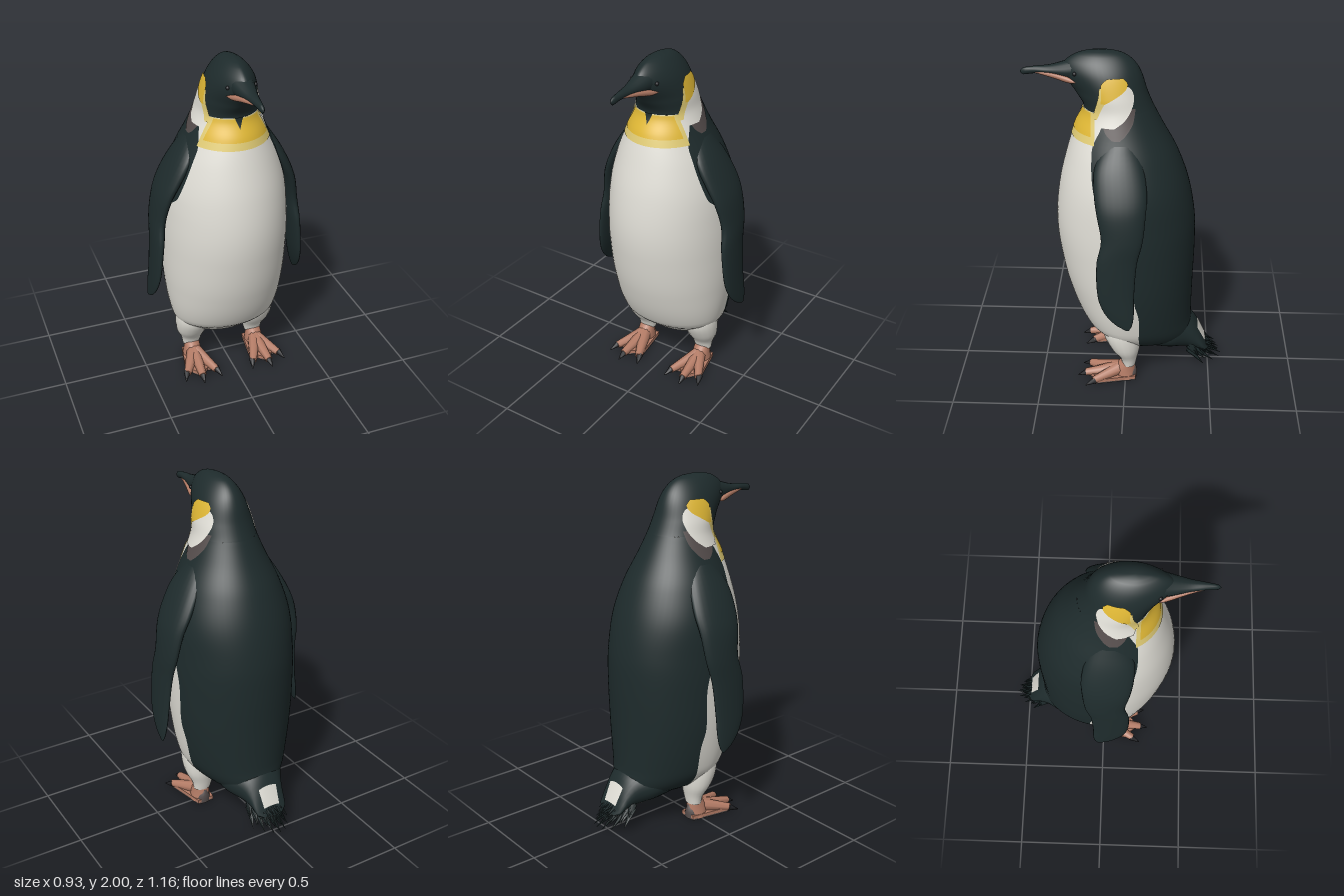
import * as THREE from 'three';
import { mergeVertices } from 'three/addons/utils/BufferGeometryUtils.js';

const mat = (name, color, side = THREE.FrontSide) => {
  const m = new THREE.MeshStandardMaterial({ color, side });
  m.name = name;
  return m;
};
const DARK = mat('dark plumage', 0x1e2b2c);
const PALE = mat('pale plumage', 0xe0ded6, THREE.DoubleSide);
const YELLOW = mat('yellow plumage', 0xdfb735);
const CREAM = mat('cream plumage', 0xdfca74);
const GREY = mat('grey brown', 0x544c4b);
const PINK = mat('pinkish skin', 0xb47c66);
const BLACK = mat('claw black', 0x222326);

// Smooth lookup in a table whose first column is the ascending key
function at(table, k) {
  let i = 0;
  while (i < table.length - 2 && k > table[i + 1][0]) i++;
  const p = table[i], q = table[i + 1];
  const h = q[0] - p[0], t = THREE.MathUtils.clamp((k - p[0]) / h, 0, 1);
  const a = table[i - 1] || p, b = table[i + 2] || q;
  return p.map((_, c) => {
    const m0 = (q[c] - a[c]) / (q[0] - a[0]) * h, m1 = (b[c] - p[c]) / (b[0] - p[0]) * h;
    const t2 = t * t, t3 = t2 * t;
    return (2 * t3 - 3 * t2 + 1) * p[c] + (t3 - 2 * t2 + t) * m0 + (3 * t2 - 2 * t3) * q[c] + (t3 - t2) * m1;
  });
}

// Grid surface from a function of u and v
function surface(f, nu, nv) {
  const pos = [], idx = [];
  for (let j = 0; j <= nv; j++) for (let i = 0; i <= nu; i++) pos.push(...f(i / nu, j / nv));
  for (let j = 0; j < nv; j++) for (let i = 0; i < nu; i++) {
    const a = j * (nu + 1) + i, c = a + nu + 1;
    idx.push(a, a + 1, c + 1, a, c + 1, c);
  }
  let g = new THREE.BufferGeometry();
  g.setAttribute('position', new THREE.Float32BufferAttribute(pos, 3));
  g.setIndex(idx);
  g = mergeVertices(g, 1e-5);
  g.computeVertexNormals();
  return g;
}

// Trunk and head: y, half width, front z, back z, centre z
const BODY = [
  [0.17, 0.08, 0.0, -0.3, -0.12], [0.22, 0.2, 0.09, -0.385, -0.08], [0.28, 0.27, 0.155, -0.395, -0.04],
  [0.36, 0.315, 0.245, -0.388, 0], [0.6, 0.352, 0.34, -0.39, 0], [0.86, 0.362, 0.39, -0.395, 0],
  [1.04, 0.358, 0.4, -0.388, 0], [1.24, 0.34, 0.378, -0.35, 0], [1.42, 0.287, 0.335, -0.285, 0.02],
  [1.58, 0.215, 0.285, -0.2, 0.04], [1.69, 0.172, 0.237, -0.145, 0.05], [1.77, 0.157, 0.28, -0.112, 0.08],
  [1.87, 0.128, 0.345, -0.08, 0.11], [1.93, 0.097, 0.335, -0.045, 0.13], [1.975, 0.058, 0.275, 0.01, 0.14],
  [1.993, 0.028, 0.215, 0.07, 0.145], [2, 0, 0.15, 0.15, 0.15]];
// z of the line where the pale front meets the dark back
const EDGE = [[0.17, -0.22], [0.2, -0.12], [0.26, -0.085], [0.5, -0.08], [0.62, -0.055], [0.9, -0.05],
  [1.13, 0.05], [1.22, 0.15], [1.5, 0.18], [1.62, 0.13], [1.7, 0.1]];

function bodyPoint(y, th, off = 0) {
  const [, w, zf, zb, zc] = at(BODY, y);
  const c = Math.cos(th), s = Math.sin(th);
  // the face narrows towards the beak
  const narrow = 1 - 0.3 * THREE.MathUtils.smoothstep(y, 1.69, 1.8) * Math.max(c, 0) ** 2;
  return [(w + off) * s * narrow, y, zc + (c > 0 ? zf - zc + off : zc - zb + off) * c];
}
function angleAt(y, z) {
  const [, , zf, zb, zc] = at(BODY, y);
  return Math.acos(THREE.MathUtils.clamp((z - zc) / (z > zc ? zf - zc : zc - zb), -1, 1));
}
const edge = (y) => angleAt(y, at(EDGE, y)[1]);

// Piece of the body skin between two angles that may vary with height
function skin(y0, y1, from, to, nu, nv, off = 0) {
  return surface((u, v) => {
    const y = y0 + (y1 - y0) * v, a = from(y);
    return bodyPoint(y, a + (to(y) - a) * u, off);
  }, nu, nv);
}

// Tube of ellipses along z: z, bottom y, top y, half width, centre x
function loftZ(table, nu, nv, a0 = 0, a1 = Math.PI * 2) {
  const z0 = table[0][0], z1 = table[table.length - 1][0];
  return surface((u, v) => {
    const [z, yb, yt, w, x] = at(table, z0 + (z1 - z0) * v);
    const a = a0 + (a1 - a0) * u;
    return [x + w * Math.cos(a), (yb + yt) / 2 + (yt - yb) / 2 * Math.sin(a), z];
  }, nu, nv);
}
// Tube of ellipses along y: y, outer x, inner x, front z, back z
function loftY(table, nu, nv) {
  const y0 = table[0][0], y1 = table[table.length - 1][0];
  return surface((u, v) => {
    const [y, xo, xi, zf, zb] = at(table, y0 + (y1 - y0) * v);
    const a = u * Math.PI * 2;
    return [(xo + xi) / 2 + (xo - xi) / 2 * Math.sin(a), y, (zf + zb) / 2 + (zf - zb) / 2 * Math.cos(a)];
  }, nu, nv);
}
const mirrorRows = (rows, s) => rows.map(([y, o, i, f, b]) => s > 0 ? [y, o, i, f, b] : [y, -i, -o, f, b]);

// Tapered rod between two points
function rod(p, q, r0, r1, sides = 8) {
  const a = new THREE.Vector3(...p), d = new THREE.Vector3(...q).sub(a), len = d.length();
  const g = new THREE.CylinderGeometry(r1, r0, len, sides);
  g.translate(0, len / 2, 0);
  g.applyQuaternion(new THREE.Quaternion().setFromUnitVectors(new THREE.Vector3(0, 1, 0), d.normalize()));
  return g.translate(a.x, a.y, a.z);
}

export function createModel() {
  const root = new THREE.Group();
  root.name = 'penguin';
  const add = (name, geo, m, parent = root) => {
    const mesh = new THREE.Mesh(geo, m);
    mesh.name = name;
    parent.add(mesh);
    return mesh;
  };
  // Symmetric panel across the front, reaching back to the angle given by side(y)
  const front = (name, m, y0, y1, side, nv, off) => add(name, skin(y0, y1, (y) => -side(y), side, 40, nv, off), m);

  // Trunk, collar and head
  front('belly', PALE, 0.17, 1.69, edge, 66, 0);
  front('paleCollar', CREAM, 1.53, 1.69, (y) => angleAt(y, 0.165), 10, 0.003);
  front('brightCollar', YELLOW, 1.57, 1.685, (y) => angleAt(y, 0.185), 8, 0.005);
  add('back', skin(0.17, 1.69, edge, (y) => Math.PI * 2 - edge(y), 40, 66), DARK);
  add('head', skin(1.69, 2, () => -Math.PI, () => Math.PI, 48, 32), DARK);
  front('chinPoint', DARK, 1.635, 1.695, (y) => (y - 1.635) * 2.2, 6, 0.008);

  // Side patches: y, front z, back z
  const patches = [
    ['shoulderPatch', GREY, 0.003, [[1.565, 0.07, 0.03], [1.59, 0.1, 0], [1.64, 0.12, -0.035], [1.68, 0.1, -0.045], [1.72, 0.08, -0.05]]],
    ['earPatch', PALE, 0.005, [[1.625, 0.15, 0.06], [1.66, 0.16, 0.01], [1.71, 0.145, -0.025], [1.77, 0.13, -0.04], [1.82, 0.11, -0.025], [1.84, 0.08, 0.0]]],
    ['cheekStripe', CREAM, 0.007, [[1.66, 0.175, 0.15], [1.72, 0.16, 0.125], [1.78, 0.145, 0.1], [1.83, 0.14, 0.1]]],
    ['cheekPatch', YELLOW, 0.008, [[1.75, 0.132, 0.11], [1.78, 0.128, 0.06], [1.815, 0.128, 0.01], [1.85, 0.13, -0.005], [1.88, 0.1, 0.02]]]];
  for (const s of [1, -1]) {
    for (const [name, m, off, rows] of patches) {
      const f = (y) => angleAt(y, at(rows, y)[1]), b = (y) => angleAt(y, at(rows, y)[2]);
      add(name, skin(rows[0][0], rows[rows.length - 1][0], s > 0 ? f : (y) => -b(y), s > 0 ? b : (y) => -f(y), 10, 16, off), m);
    }
    const eye = add('eye', new THREE.SphereGeometry(0.011, 12, 8), BLACK);
    eye.position.set(...bodyPoint(1.885, s * angleAt(1.885, 0.275)));
  }

  // Beak with coloured lower plates
  add('beak', loftZ([[0.26, 1.82, 1.96, 0.07, 0], [0.34, 1.835, 1.93, 0.054, 0], [0.42, 1.855, 1.908, 0.034, 0],
    [0.5, 1.86, 1.9, 0.02, 0], [0.565, 1.852, 1.888, 0.01, 0], [0.575, 1.866, 1.872, 0.001, 0]], 16, 20), DARK);
  for (const s of [1, -1]) {
    add('beakPlate', loftZ([[0.27, 1.835, 1.84, 0.002, s * 0.08], [0.31, 1.829, 1.86, 0.014, s * 0.06],
      [0.38, 1.845, 1.873, 0.01, s * 0.042], [0.44, 1.857, 1.876, 0.006, s * 0.027], [0.49, 1.868, 1.872, 0.001, s * 0.019]], 10, 14), PINK);
  }

  // Flippers
  const flipper = [[0.515, 0.463, 0.46, -0.01, -0.03], [0.55, 0.464, 0.448, 0.05, -0.048], [0.62, 0.462, 0.428, 0.11, -0.056],
    [0.72, 0.457, 0.408, 0.145, -0.056], [0.92, 0.446, 0.382, 0.15, -0.07], [1.05, 0.437, 0.36, 0.125, -0.1],
    [1.2, 0.412, 0.32, 0.15, -0.115], [1.3, 0.375, 0.27, 0.165, -0.12], [1.42, 0.313, 0.2, 0.165, -0.1], [1.54, 0.235, 0.12, 0.12, -0.06]];
  for (const s of [1, -1]) add(s > 0 ? 'leftFlipper' : 'rightFlipper', loftY(mirrorRows(flipper, s), 24, 40), DARK);

  // Tail, dark above and pale below, with a fan of pointed feathers
  const tail = [[-0.5, 0.11, 0.115, 0.06, 0], [-0.48, 0.1, 0.16, 0.095, 0], [-0.43, 0.105, 0.27, 0.11, 0],
    [-0.37, 0.12, 0.35, 0.135, 0], [-0.25, 0.14, 0.4, 0.2, 0], [-0.06, 0.16, 0.3, 0.16, 0]];
  add('tailTop', loftZ(tail, 24, 20, -0.75, Math.PI + 0.75), DARK);
  add('tailUnderside', loftZ(tail, 12, 20, Math.PI + 0.75, Math.PI * 2 - 0.75), PALE);
  const rump = tail.slice(1, 3).map(([z, b, t, w, x]) => [z, b, t + 0.007, w, x]);
  add('rumpPatch', loftZ(rump, 10, 4, 1.0, Math.PI - 1.0), PALE);
  for (let layer = 0; layer < 3; layer++) for (let i = 0; i < 13; i++) {
    const t = (i - 6) / 6, jag = (i + layer) % 2 * 0.025;
    add('tailFeather', rod([0.09 * t, 0.13 + layer * 0.025, -0.41 + 0.03 * t * t],
      [0.118 * t, 0.04 + layer * 0.035 + jag, -0.58 + layer * 0.015 + 0.11 * t * t + jag], 0.024, 0.001, 5), DARK);
  }

  // Legs and webbed feet
  const leg = [[0.1, 0.255, 0.15, 0.02, -0.06], [0.15, 0.265, 0.135, 0.035, -0.07], [0.22, 0.295, 0.115, 0.085, -0.085], [0.32, 0.305, 0.1, 0.13, -0.09], [0.42, 0.29, 0.12, 0.12, -0.07]];
  const ankle = [[0.01, 0.265, 0.145, 0.06, -0.06], [0.06, 0.255, 0.15, 0.07, -0.06], [0.13, 0.245, 0.16, 0.02, -0.05]];
  const heel = [[0.005, 0.25, 0.16, 0, -0.068], [0.05, 0.24, 0.165, 0, -0.068], [0.09, 0.215, 0.185, 0, -0.058]];
  const toes = [[0.12, 0.215], [0.215, 0.24], [0.295, 0.19]];
  const web = [[0.15, -0.06], [0.25, -0.06], [0.3, 0.18], [0.26, 0.17], [0.215, 0.225], [0.165, 0.18], [0.115, 0.195]];
  for (const s of [1, -1]) {
    const foot = new THREE.Group();
    foot.name = s > 0 ? 'leftFoot' : 'rightFoot';
    root.add(foot);
    add('leg', loftY(mirrorRows(leg, s), 20, 16), PALE, foot);
    add('ankle', loftY(mirrorRows(ankle, s), 16, 8), PINK, foot);
    add('heel', loftY(mirrorRows(heel, s), 12, 6), GREY, foot);
    const flat = new THREE.Shape(web.map(([x, z]) => new THREE.Vector2(x * s, -z)));
    const plate = (y, h) => new THREE.ExtrudeGeometry(flat, { depth: h, bevelEnabled: false }).rotateX(-Math.PI / 2).translate(0, y, 0);
    add('web', plate(0.012, 0.02), PINK, foot);
    add('sole', plate(0.003, 0.009), GREY, foot);
    for (const [x, z] of toes) {
      add('toe', rod([s * 0.2, 0.065, 0.02], [s * x, 0.028, z], 0.042, 0.022), PINK, foot);
      add('claw', rod([s * x, 0.03, z - 0.012], [s * (x + (x - 0.2) * 0.25), 0.008, z + 0.045], 0.022, 0.003), BLACK, foot);
    }
  }
  return root;
}
